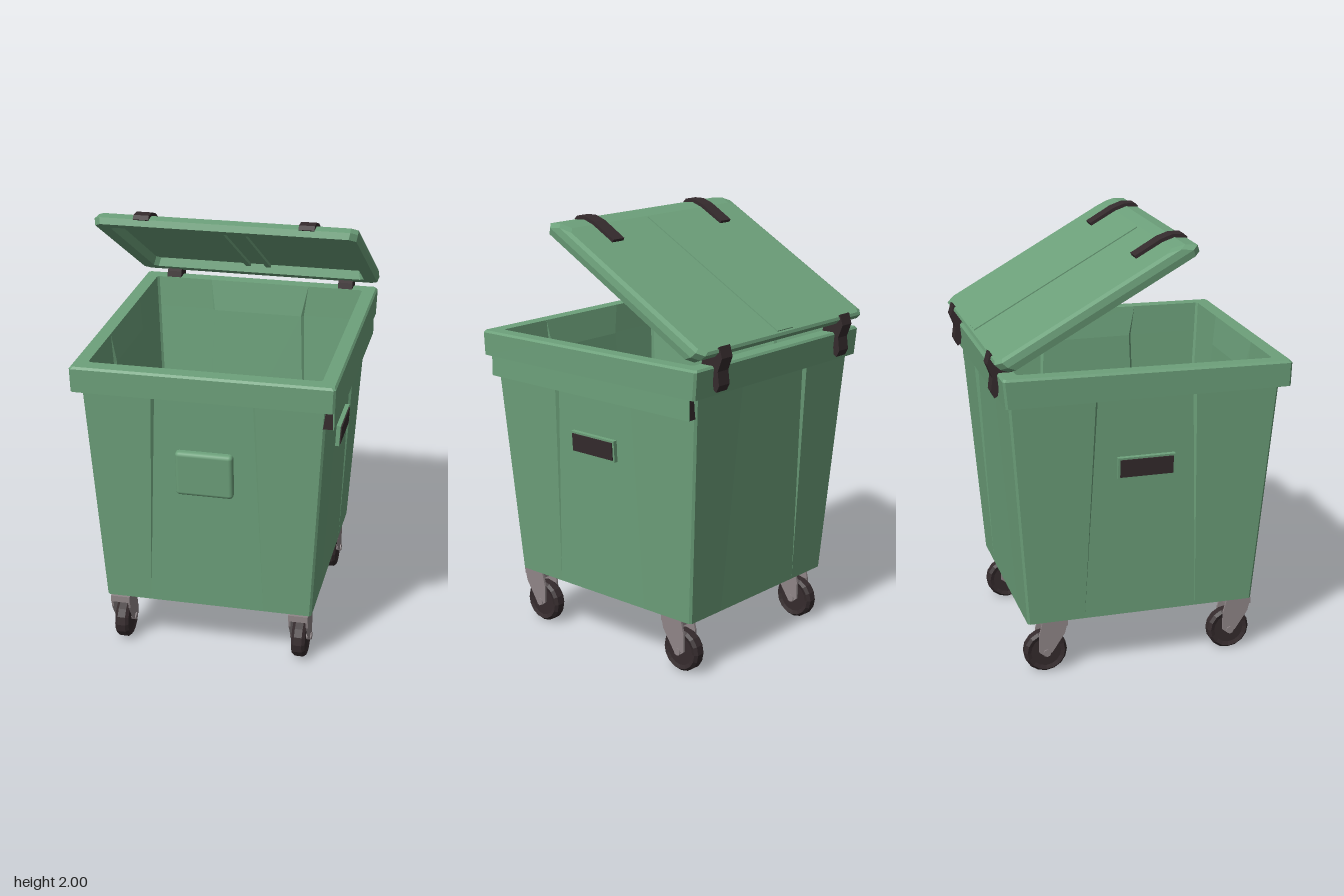
import * as THREE from 'three';
import { RoundedBoxGeometry } from 'three/addons/geometries/RoundedBoxGeometry.js';

const mat = (name, color) => Object.assign(new THREE.MeshStandardMaterial({ color }), { name });

// Rectangular ring with cut corners and a sunken centre panel on each side.
function ring({ y, x, z0, z1, cut = 0.01, sink = 0, panel = 0.25, slope = 0 }) {
  const c = (z0 + z1) / 2;
  const h = (z1 - z0) / 2;
  const pts = [];
  for (let side = 0; side < 4; side++) {
    const [across, out] = side % 2 ? [h, x] : [x, h];
    const a = side * Math.PI / 2;
    for (const [u, v] of [
      [-across + cut, out], [-panel, out], [-panel + 0.012, out - sink],
      [panel - 0.012, out - sink], [panel, out], [across - cut, out],
    ]) {
      const pz = -u * Math.sin(a) + v * Math.cos(a) + c;
      pts.push([u * Math.cos(a) + v * Math.sin(a), y - slope * pz, pz]);
    }
  }
  return pts;
}

// Skin a series of rings and close both ends, with flat facets.
function loft(rings) {
  const pos = [];
  const tri = (a, b, c) => pos.push(...a, ...b, ...c);
  const centre = (r) => [0, 1, 2].map((k) => r.reduce((s, p) => s + p[k], 0) / r.length);
  const n = rings[0].length;
  const last = rings[rings.length - 1];
  const start = centre(rings[0]);
  const end = centre(last);
  for (let i = 0; i < n; i++) {
    const j = (i + 1) % n;
    tri(start, rings[0][j], rings[0][i]);
    for (let k = 0; k + 1 < rings.length; k++) {
      tri(rings[k][i], rings[k][j], rings[k + 1][j]);
      tri(rings[k][i], rings[k + 1][j], rings[k + 1][i]);
    }
    tri(end, last[i], last[j]);
  }
  const g = new THREE.BufferGeometry();
  g.setAttribute('position', new THREE.Float32BufferAttribute(pos, 3));
  g.computeVertexNormals();
  return g;
}

// Extrude a [z, y] outline along x, centred on x = 0.
function extrudeX(points, width) {
  const shape = new THREE.Shape(points.map(([z, y]) => new THREE.Vector2(z, y)));
  return new THREE.ExtrudeGeometry(shape, { depth: width, bevelEnabled: false })
    .translate(0, 0, -width / 2).rotateY(-Math.PI / 2);
}

export function createModel() {
  const green = mat('bin green', 0x6da17b);
  const dark = mat('dark rubber', 0x352b2d);
  const grey = mat('caster grey', 0x8f8587);

  const model = new THREE.Group();
  model.name = 'wheeledBin';
  const add = (parent, name, geo, material, x = 0, y = 0, z = 0) => {
    const m = new THREE.Mesh(geo, material);
    m.name = name;
    m.position.set(x, y, z);
    parent.add(m);
    return m;
  };
  const box = (w, h, d) => new THREE.BoxGeometry(w, h, d);

  // Hollow tapered body: up the outside, over the rim, down the inside
  add(model, 'body', loft([
    ring({ y: 0.26, x: 0.48, z0: -0.52, z1: 0.55, panel: 0.27 }),
    ring({ y: 1.32, x: 0.54, z0: -0.6, z1: 0.63, panel: 0.23, sink: 0.015 }),
    ring({ y: 1.32, x: 0.58, z0: -0.62, z1: 0.672 }),
    ring({ y: 1.435, x: 0.583, z0: -0.632, z1: 0.675, slope: 0.012 }),
    ring({ y: 1.445, x: 0.575, z0: -0.625, z1: 0.667, slope: 0.012 }),
    ring({ y: 1.445, x: 0.515, z0: -0.56, z1: 0.602, slope: 0.012 }),
    ring({ y: 1.3, x: 0.508, z0: -0.555, z1: 0.594, panel: 0.23, sink: 0.012 }),
    ring({ y: 0.28, x: 0.46, z0: -0.5, z1: 0.53, panel: 0.27 }),
  ]), green);

  // Raised square plate on the front
  add(model, 'frontPlate', new RoundedBoxGeometry(0.26, 0.215, 0.06, 2, 0.018),
    green, 0, 0.95, 0.592).rotation.x = 0.075;

  // Strip under the rim on one side, dark with a green face
  add(model, 'sideStrip', box(0.05, 0.09, 1.21), dark, 0.543, 1.272, 0.018);
  add(model, 'sideStripFace', box(0.006, 0.092, 1.212), green, 0.57, 1.272, 0.018);

  // Side handles in thin frames
  for (const s of [-1, 1]) {
    const handle = new THREE.Group();
    handle.name = 'sideHandle';
    handle.position.set(s * 0.514, 0.988, 0.02);
    handle.rotation.z = -s * 0.057;
    add(handle, 'handleFrame', box(0.032, 0.1, 0.265), green);
    add(handle, 'handleGrip', box(0.042, 0.082, 0.245), dark);
    model.add(handle);
  }

  // Open lid, hollow underneath, tilted about the rear edge
  const lid = new THREE.Group();
  lid.name = 'lid';
  lid.position.set(0, 1.48, -0.6);
  lid.rotation.x = -0.51;
  add(lid, 'lidShell', loft([
    ring({ y: 0.042, x: 0.515, z0: 0.07, z1: 0.87, cut: 0.02 }),
    ring({ y: 0, x: 0.525, z0: 0.06, z1: 0.9, cut: 0.02 }),
    ring({ y: 0, x: 0.585, z0: 0, z1: 0.96, cut: 0.03 }),
    ring({ y: 0.03, x: 0.59, z0: -0.025, z1: 0.965, cut: 0.03 }),
    ring({ y: 0.06, x: 0.585, z0: -0.035, z1: 0.92, cut: 0.03 }),
    ring({ y: 0.07, x: 0.565, z0: -0.025, z1: 0.865, cut: 0.03 }),
  ]), green);
  add(lid, 'lidRidge', box(0.11, 0.008, 0.87), green, 0, 0.071, 0.42);
  for (const s of [-1, 1]) {
    add(lid, 'lidRib', box(0.025, 0.016, 0.8), green, s * 0.05, 0.036, 0.47);
    // Clip folded over the front edge
    add(lid, 'lidClip', extrudeX([
      [0.73, 0.06], [0.86, 0.06], [0.95, 0.025], [0.972, 0.028],
      [0.965, 0.05], [0.92, 0.076], [0.865, 0.086], [0.73, 0.084],
    ], 0.07), dark, s * 0.37);
  }
  model.add(lid);

  // Rear hinges
  for (const s of [-1, 1]) {
    add(model, 'hinge', extrudeX([
      [-0.56, 1.44], [-0.62, 1.44], [-0.63, 1.35], [-0.645, 1.34], [-0.66, 1.37],
      [-0.652, 1.43], [-0.675, 1.49], [-0.66, 1.54], [-0.6, 1.5], [-0.57, 1.48],
    ], 0.07), dark, s * 0.43);
  }

  // Swivel casters trailing behind their mounts
  const tyre = new THREE.LatheGeometry([
    [0, -0.026], [0.07, -0.026], [0.088, -0.032], [0.1, -0.018],
    [0.1, 0.018], [0.088, 0.032], [0.07, 0.026], [0, 0.026],
  ].map(([r, h]) => new THREE.Vector2(r, h)), 16).rotateZ(Math.PI / 2).toNonIndexed();
  tyre.computeVertexNormals();
  const cheek = extrudeX([
    [0.1, 0.15], [-0.02, 0.15], [-0.035, 0.09], [-0.035, 0.005],
    [-0.01, -0.015], [0.025, 0], [0.085, 0.09],
  ], 0.01);
  const axle = new THREE.CylinderGeometry(0.018, 0.018, 0.1, 8).rotateZ(Math.PI / 2);
  for (const s of [-1, 1]) {
    for (const z of [0.455, -0.43]) {
      const caster = new THREE.Group();
      caster.name = 'caster';
      caster.position.set(s * 0.42, 0.1, z);
      add(caster, 'wheel', tyre, dark);
      add(caster, 'axle', axle, grey);
      for (const t of [-1, 1]) add(caster, 'forkCheek', cheek, grey, t * 0.04);
      add(caster, 'forkTop', box(0.09, 0.03, 0.12), grey, 0, 0.14, 0.04);
      add(caster, 'mountBolt', box(0.07, 0.05, 0.035), dark, -s * 0.015, 0.165, 0.02);
      model.add(caster);
    }
  }
  return model;
}
